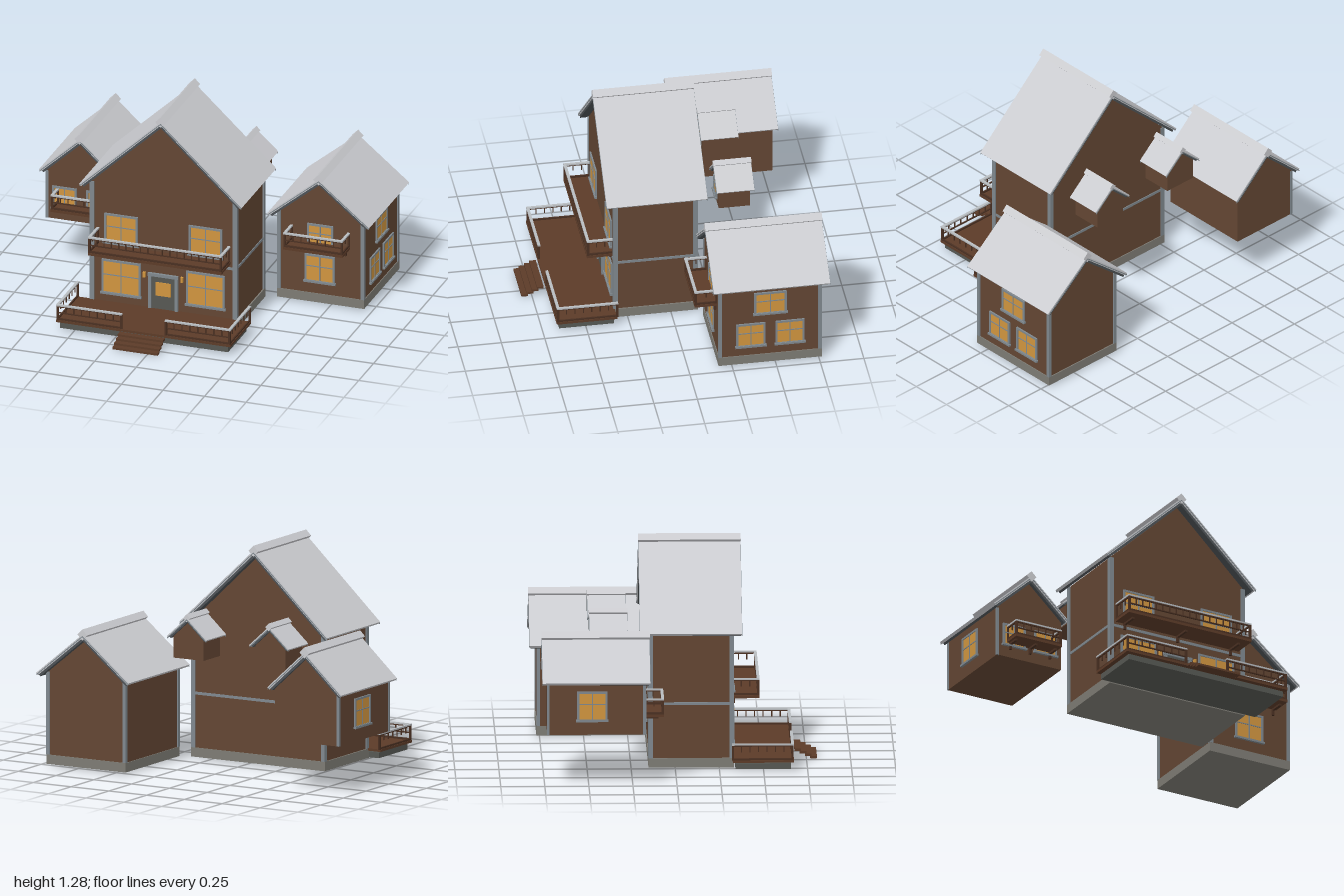
import * as THREE from 'three';

const mat = (name, color) => {
  const m = new THREE.MeshStandardMaterial({ color });
  m.name = name;
  return m;
};

export function createModel() {
  const M = {
    wall: mat('brown wall', 0x634633),
    wood: mat('deck wood', 0x5c3b28),
    rail: mat('dark rail wood', 0x4a3022),
    roof: mat('light roof', 0xcbccd0),
    fascia: mat('dark fascia', 0x4c5155),
    trim: mat('grey trim', 0x7f888e),
    stone: mat('foundation stone', 0x7d7b74),
    door: mat('door grey', 0x565853),
    cap: mat('pale rail cap', 0xb8bcc0),
    glass: mat('amber glass', 0xd0953f),
  };
  const root = new THREE.Group();
  root.name = 'houses';

  const group = (name, parent = root) => {
    const g = new THREE.Group();
    g.name = name;
    parent.add(g);
    return g;
  };
  const add = (parent, name, geo, m) => {
    const mesh = new THREE.Mesh(geo, m);
    mesh.name = name;
    parent.add(mesh);
    return mesh;
  };
  // box given by its min and max on each axis
  const box = (parent, name, m, x0, x1, y0, y1, z0, z1) => {
    const b = add(parent, name, new THREE.BoxGeometry(x1 - x0, y1 - y0, z1 - z0), m);
    b.position.set((x0 + x1) / 2, (y0 + y1) / 2, (z0 + z1) / 2);
    return b;
  };
  // polygon in x, y extruded from z0 to z1
  const prism = (parent, name, m, pts, z0, z1) => {
    const shape = new THREE.Shape(pts.map(p => new THREE.Vector2(p[0], p[1])));
    const geo = new THREE.ExtrudeGeometry(shape, { depth: z1 - z0, bevelEnabled: false });
    geo.translate(0, 0, z0);
    return add(parent, name, geo, m);
  };

  // gabled roof: light layer over a dark fascia layer, with a ridge cap
  function roof(parent, { cx, half, eave, apex, z0, z1, t = 0.03, cap = 0.045 }) {
    const a = Math.atan2(apex - eave, half);
    const layer = (name, m, d0, d1, inset) => {
      const end = d => [half - inset - d * Math.sin(a), eave + inset * Math.tan(a) - d * Math.cos(a)];
      const [ox, oy] = end(d0), [ix, iy] = end(d1);
      const top = apex - d0 / Math.cos(a), low = apex - d1 / Math.cos(a);
      prism(parent, name, m, [[cx + ix, iy], [cx + ox, oy], [cx, top], [cx - ox, oy], [cx - ix, iy], [cx, low]],
        z0 + inset, z1 - inset);
    };
    layer('roofSlabs', M.roof, 0, t * 0.55, 0);
    layer('roofFascia', M.fascia, t * 0.55, t, 0.006);
    // grey verge strips along both gable edges
    for (const z of [z0, z1]) {
      const h = half - 0.004, e = eave + 0.004 * Math.tan(a), v = 0.007 / Math.cos(a);
      prism(parent, 'verge', M.trim, [[cx + h, e - v * 1.8], [cx + h, e - v], [cx, apex - v],
        [cx - h, e - v], [cx - h, e - v * 1.8], [cx, apex - v * 1.8]], z - 0.002, z + 0.002);
    }
    const c = box(parent, 'ridgeCap', M.roof, -cap / 2, cap / 2, -cap / 2, cap / 2, z0 - 0.002, z1 + 0.002);
    c.position.set(cx, apex - 0.003, (z0 + z1) / 2);
    c.rotation.z = Math.PI / 4;
  }

  // five-sided house body
  const body = (parent, cx, half, y0, eave, apex, z0, z1) => prism(parent, 'walls', M.wall,
    [[cx - half, y0], [cx + half, y0], [cx + half, eave], [cx, apex], [cx - half, eave]], z0, z1);

  const cornerPosts = (parent, xs, zs, y0, y1, s = 0.013) => {
    for (const x of xs) for (const z of zs) box(parent, 'cornerPost', M.trim, x - s, x + s, y0, y1, z - s, z + s);
  };

  // framed window facing +z, then turned to its wall
  function windowAt(parent, x, y, z, w, h, turn = 0) {
    const g = group('window', parent);
    const f = 0.006, hw = w / 2, hh = h / 2;
    box(g, 'pane', M.glass, -hw, hw, -hh, hh, 0, 0.004);
    for (const s of [-1, 1]) {
      box(g, 'frameSide', M.trim, s * hw - f, s * hw + f, -hh, hh, 0, 0.009);
      box(g, 'frameEnd', M.trim, -hw - f, hw + f, s * hh - f, s * hh + f, 0, 0.009);
    }
    box(g, 'mullion', M.trim, -0.003, 0.003, -hh, hh, 0, 0.007);
    box(g, 'crossbar', M.trim, -hw, hw, 0.01, 0.016, 0, 0.007);
    box(g, 'sill', M.trim, -hw - 0.012, hw + 0.012, -hh - 0.008, -hh + 0.004, 0, 0.015);
    g.position.set(x, y, z);
    g.rotation.y = turn;
  }

  // straight railing from (xa, za) to (xb, zb), between y0 and y1
  function railing(parent, xa, za, xb, zb, y0, y1, midRail, step = 0.05) {
    const g = group('railing', parent);
    const len = Math.hypot(xb - xa, zb - za), n = Math.max(2, Math.round(len / step));
    box(g, 'railCap', M.cap, -0.006, len + 0.006, y1 - 0.009, y1, -0.008, 0.008);
    box(g, 'upperRail', M.rail, 0, len, y1 - 0.016, y1 - 0.009, -0.004, 0.004);
    box(g, 'lowerRail', M.rail, 0, len, y0, y0 + 0.012, -0.004, 0.004);
    const drop = y1 - (y1 - y0) * 0.5;
    if (midRail) box(g, 'midRail', M.rail, 0, len, drop - 0.006, drop, -0.004, 0.004);
    for (let i = 0; i <= n; i++) {
      const x = len * i / n, end = i === 0 || i === n, r = end ? 0.006 : 0.003;
      box(g, end ? 'post' : 'baluster', M.rail, x - r, x + r, end ? y0 : drop, y1 - 0.009, -r, r);
    }
    g.position.set(xa, 0, za);
    g.rotation.y = -Math.atan2(zb - za, xb - xa);
  }

  // balcony with floor, three railings and brackets
  function balcony(parent, x0, x1, zWall, zOut, y0, y1, step) {
    const g = group('balcony', parent);
    box(g, 'floor', M.wood, x0, x1, y0, y0 + 0.015, zWall, zOut);
    const a = x0 + 0.007, b = x1 - 0.007, z = zOut - 0.007;
    railing(g, a, z, b, z, y0 + 0.015, y1, true, step);
    for (const x of [a, b]) railing(g, x, zWall, x, z, y0 + 0.015, y1, false, step);
    const w = x1 - x0;
    for (const k of [0.07, 0.5, 0.93]) {
      const x = x0 + w * k;
      box(g, 'bracketLeg', M.rail, x - 0.007, x + 0.007, y0 - 0.04, y0, zWall, zWall + 0.014);
      box(g, 'bracketArm', M.rail, x - 0.007, x + 0.007, y0 - 0.012, y0, zWall, zWall + (zOut - zWall) * 0.7);
    }
  }

  // main house
  const main = group('mainHouse');
  const mx = -0.075;
  box(main, 'foundation', M.stone, mx - 0.443, mx + 0.443, 0.012, 0.066, -0.152, 0.332);
  body(main, mx, 0.435, 0.066, 0.8, 1.21, -0.147, 0.327);
  cornerPosts(main, [mx - 0.43, mx + 0.43], [-0.14, 0.32], 0.066, 0.8);
  box(main, 'floorBand', M.trim, mx - 0.439, mx + 0.439, 0.372, 0.388, -0.151, 0.331);
  roof(main, { cx: mx, half: 0.491, eave: 0.793, apex: 1.25, z0: -0.2, z1: 0.378 });
  for (const s of [-1, 1]) {
    windowAt(main, mx + s * 0.254, 0.523, 0.327, 0.19, 0.172);
    windowAt(main, mx + s * 0.254, 0.223, 0.327, 0.222, 0.2);
    box(main, 'wallLamp', M.glass, mx + s * 0.113 - 0.007, mx + s * 0.113 + 0.007, 0.253, 0.285, 0.327, 0.343);
  }
  balcony(main, -0.477, 0.327, 0.327, 0.478, 0.405, 0.518, 0.043);

  // front door
  const door = group('frontDoor', main);
  box(door, 'doorLeaf', M.door, -0.148, 0.002, 0.066, 0.275, 0.327, 0.333);
  box(door, 'doorPane', M.glass, -0.121, -0.029, 0.15, 0.233, 0.327, 0.337);
  for (const x of [-0.155, 0.005]) box(door, 'doorJamb', M.trim, x - 0.009, x + 0.009, 0.066, 0.28, 0.327, 0.341);
  box(door, 'doorHead', M.trim, -0.166, 0.016, 0.268, 0.286, 0.327, 0.343);

  // porch deck with railings and steps
  const porch = group('porch');
  box(porch, 'porchBase', M.door, -0.58, 0.43, 0.014, 0.047, 0.34, 0.656);
  box(porch, 'deck', M.wood, -0.6, 0.45, 0.054, 0.068, 0.325, 0.672);
  for (const x of [-0.592, 0.442]) railing(porch, x, 0.325, x, 0.664, 0.066, 0.162, false);
  railing(porch, -0.592, 0.664, -0.21, 0.664, 0.066, 0.162, true);
  railing(porch, 0.06, 0.664, 0.442, 0.664, 0.066, 0.162, true);
  for (let i = 0; i < 4; i++) {
    box(porch, 'step', M.wood, -0.212, 0.06, 0.045 - i * 0.0145, 0.057 - i * 0.0145, 0.682 + i * 0.03, 0.72 + i * 0.03);
  }

  // right house
  const right = group('sideHouse');
  const rx = 0.692;
  box(right, 'foundation', M.stone, rx - 0.262, rx + 0.262, 0.012, 0.066, -0.768, -0.172);
  body(right, rx, 0.257, 0.066, 0.545, 0.75, -0.762, -0.177);
  cornerPosts(right, [rx - 0.252, rx + 0.252], [-0.757, -0.182], 0.066, 0.545, 0.011);
  roof(right, { cx: rx, half: 0.308, eave: 0.538, apex: 0.79, z0: -0.807, z1: -0.138 });
  windowAt(right, 0.69, 0.425, -0.177, 0.145, 0.13);
  windowAt(right, 0.687, 0.22, -0.177, 0.17, 0.16);
  balcony(right, 0.51, 0.867, -0.177, -0.05, 0.367, 0.47, 0.05);
  windowAt(right, rx + 0.257, 0.412, -0.47, 0.175, 0.135, Math.PI / 2);
  for (const z of [-0.358, -0.583]) windowAt(right, rx + 0.257, 0.203, z, 0.155, 0.145, Math.PI / 2);

  // raised left house
  const left = group('raisedHouse');
  const lx = -0.751;
  body(left, lx, 0.21, 0.292, 0.587, 0.78, -0.735, -0.18);
  cornerPosts(left, [lx - 0.205], [-0.73, -0.185], 0.292, 0.585, 0.008);
  roof(left, { cx: lx, half: 0.246, eave: 0.595, apex: 0.82, z0: -0.762, z1: -0.152 });
  for (const x of [-0.85, -0.645]) windowAt(left, x, 0.428, -0.18, 0.135, 0.125);
  balcony(left, -0.897, -0.597, -0.18, -0.072, 0.38, 0.485, 0.05);
  windowAt(left, lx - 0.21, 0.455, -0.48, 0.16, 0.16, -Math.PI / 2);

  // two small dormers behind the main roof
  for (const cx of [-0.348, 0.195]) {
    const d = group('dormer');
    body(d, cx, 0.1, 0.64, 0.775, 0.86, -0.465, -0.285);
    roof(d, { cx, half: 0.132, eave: 0.765, apex: 0.883, z0: -0.485, z1: -0.27, t: 0.022, cap: 0.032 });
    windowAt(d, cx, 0.725, -0.285, 0.09, 0.09);
  }
  return root;
}
